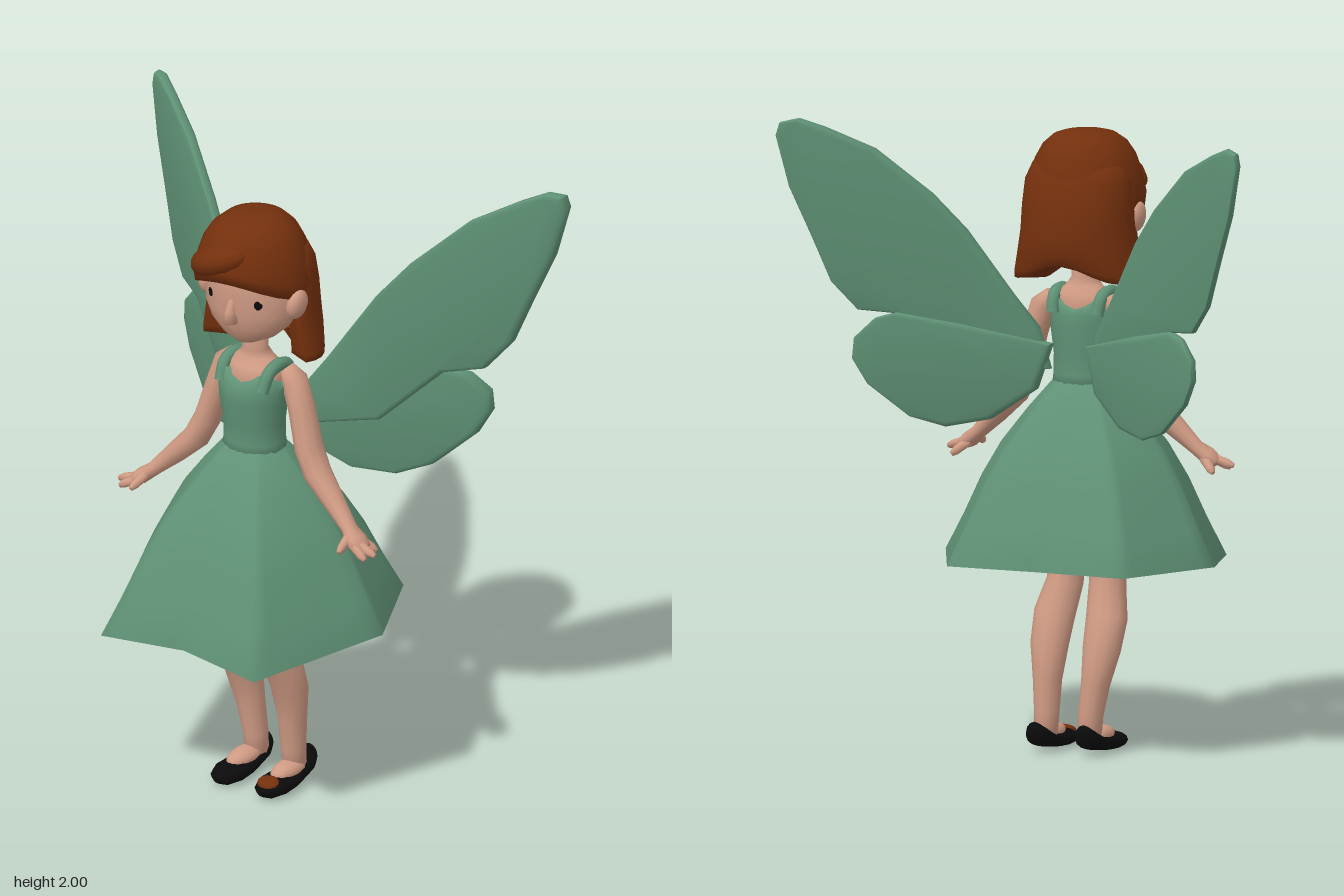
import * as THREE from 'three';
import { toCreasedNormals } from 'three/addons/utils/BufferGeometryUtils.js';

const V = (x, y, z) => new THREE.Vector3(x, y, z);
const TAU = Math.PI * 2;

export function createModel() {
  const root = new THREE.Group();
  const mat = (name, color) => {
    const m = new THREE.MeshStandardMaterial({ color });
    m.name = name;
    return m;
  };
  const green = mat('green cloth', 0x5f9175);
  const skin = mat('skin', 0xd09b84);
  const hair = mat('auburn hair', 0x74300d);
  const black = mat('black', 0x0b0b0c);

  const add = (name, geo, material) => {
    const m = new THREE.Mesh(geo, material);
    m.name = name;
    root.add(m);
    return m;
  };

  // Skin over a list of closed rings, with optional end caps
  const loft = (rings, capStart = true, capEnd = true) => {
    const n = rings[0].length, pos = [], idx = [];
    rings.forEach(r => r.forEach(p => pos.push(p.x, p.y, p.z)));
    for (let i = 0; i < rings.length - 1; i++) for (let j = 0; j < n; j++) {
      const a = i * n + j, b = i * n + (j + 1) % n;
      idx.push(a, b, b + n, a, b + n, a + n);
    }
    const cap = (i, flip) => {
      const c = rings[i].reduce((s, p) => s.add(p), V(0, 0, 0)).divideScalar(n);
      const k = pos.length / 3;
      pos.push(c.x, c.y, c.z);
      for (let j = 0; j < n; j++) {
        const a = i * n + j, b = i * n + (j + 1) % n;
        flip ? idx.push(k, b, a) : idx.push(k, a, b);
      }
    };
    if (capStart) cap(0, true);
    if (capEnd) cap(rings.length - 1, false);
    const g = new THREE.BufferGeometry();
    g.setAttribute('position', new THREE.Float32BufferAttribute(pos, 3));
    g.setIndex(idx);
    g.computeVertexNormals();
    return g;
  };
  const ring = (n, f) => Array.from({ length: n }, (_, j) => f(j / n * TAU));
  // Horizontal slices: [y, half width, back z, front z]
  const slices = (rows, n = 16) => loft(rows.map(([y, rx, zb, zf]) =>
    ring(n, t => V(rx * Math.sin(t), y, (zb + zf) / 2 + (zf - zb) / 2 * Math.cos(t)))));
  // Limb along points [x, y, z, r, rz], with rings square to the path
  const limb = (pts, n = 10) => {
    const c = pts.map(p => V(p[0], p[1], p[2]));
    return loft(pts.map(([, , , r, rz = r], i) => {
      const T = c[Math.min(i + 1, c.length - 1)].clone().sub(c[Math.max(i - 1, 0)]).normalize();
      const X = T.clone().cross(V(0, 0, 1)).normalize(), Z = X.clone().cross(T);
      return ring(n, t => c[i].clone().addScaledVector(X, r * Math.sin(t)).addScaledVector(Z, rz * Math.cos(t)));
    }));
  };
  const blob = (name, material, p, s) => {
    const m = add(name, new THREE.SphereGeometry(1, 14, 10), material);
    m.position.set(...p);
    m.scale.set(...s);
    return m;
  };

  // Skirt: round waist blending into a six-cornered hem, with an inner layer
  const half = [[0, .585, .465], [.29, .57, .5], [.457, .605, .05], [.3, .605, -.28], [0, .605, -.272]];
  const corners = [...half, ...half.slice(1, 4).reverse().map(([x, y, z]) => [-x, y, z])].map(p => V(...p));
  const hem = corners.flatMap((p, i) => [0, .12, .5, .88].map(k => p.clone().lerp(corners[(i + 1) % 8], k)));
  const skirtRing = (t, k, s) => hem.map(h => {
    const a = Math.atan2(h.x, h.z - .09);
    const w = V(.1 * Math.sin(a), 1.16, .09 + .09 * Math.cos(a));
    const p = w.clone().lerp(h, k);
    return V(p.x * s, THREE.MathUtils.lerp(1.16, h.y, t), .09 + (p.z - .09) * s);
  });
  const steps = [[1, 1], [.79, .83], [.57, .67], [.375, .49], [.18, .25], [0, 0]];
  const inner = steps.slice(0, 5).reverse().map(([t, k]) => skirtRing(t, k, .95));
  add('skirt', loft([...inner, ...steps.map(([t, k]) => skirtRing(t, k, 1))], true, true), green);

  // Bodice with scooped neckline and shoulder straps
  const bodice = [[1.12, .108, -.01, .19], [1.18, .1, 0, .178], [1.24, .1, 0, .18], [1.32, .112, -.005, .193], [1.37, .117, -.002, .19]]
    .map(([y, rx, b, f]) => ring(20, t => V(rx * Math.sin(t), y, (b + f) / 2 + (f - b) / 2 * Math.cos(t))));
  bodice.push(ring(20, t => V(.112 * Math.sin(t), 1.385 + .035 * Math.sin(2 * t) ** 2, .088 + .082 * Math.cos(t))));
  add('bodice', loft(bodice), green);
  for (const s of [1, -1]) {
    const path = new THREE.CatmullRomCurve3([V(s * .078, 1.37, .16), V(s * .083, 1.425, .132), V(s * .083, 1.437, .08), V(s * .08, 1.42, .03), V(s * .075, 1.37, .01)]);
    add('shoulderStrap', new THREE.TubeGeometry(path, 12, .021, 8), green);
  }

  // Chest, neck and face
  add('chest', slices([[1.3, .09, .01, .16], [1.4, .102, .01, .163], [1.43, .092, .02, .145], [1.455, .06, .035, .125], [1.48, .041, .045, .125], [1.57, .04, .045, .125]]), skin);
  add('head', slices([[1.525, .04, .08, .165], [1.55, .092, .04, .188], [1.59, .135, 0, .208], [1.64, .16, -.04, .22],
    [1.7, .167, -.06, .222], [1.76, .162, -.06, .225], [1.83, .14, -.04, .2], [1.88, .08, .02, .14]], 20), skin);
  add('nose', limb([[.005, 1.612, .205, .016, .012], [.005, 1.628, .225, .022, .032], [.004, 1.65, .222, .016, .024], [.003, 1.69, .212, .01, .014]], 8), skin);
  for (const s of [1, -1]) {
    blob('ear', skin, [s * .168, 1.675, .1], [.027, .05, .044]).rotation.z = -s * .15;
    const eye = blob('eye', black, [s * .09, 1.685, .196], [.014, .017, .0045]);
    eye.rotation.y = s * .52;
  }

  // Hair cap with an uneven hairline
  const capPoint = (t, s, r) => {
    const c = Math.cos(t), f = Math.max(0, c);
    const b = c > 0 ? 1.69 + .07 * c * c + .02 * f * Math.sin(t) : 1.69 + .04 * c;
    const k = r * Math.cos(s * Math.PI / 2) ** .6;
    return V(.182 * k * Math.sin(t) - .022 * f * k, b + (1.94 - b) * Math.sin(s * Math.PI / 2), .08 + (c > 0 ? .19 : .18) * k * c);
  };
  const capRings = [[.02, .82], [0, .97], [.12, 1.01], [.28, 1], [.45, 1], [.62, 1], [.78, 1], [.9, 1], [.97, .9]];
  add('hairCap', loft(capRings.map(([s, r]) => ring(24, t => capPoint(t, s, r)))), hair);
  const fringe = blob('fringe', hair, [-.045, 1.808, .195], [.125, .057, .088]);
  fringe.rotation.set(0, -.2, .42);

  // Bob: a C-shaped shell round the sides and back
  const bobRing = ([y, rx, zb, th, lift], flat) => {
    const M = 16, out = [], inn = [];
    for (let j = 0; j <= M; j++) {
      const t = THREE.MathUtils.degToRad(68 + 224 * j / M), rz = .04 - zb;
      const at = d => V((rx - d) * Math.sin(t), y + lift * Math.max(0, -Math.cos(t)) ** 6, .04 + (rz - d) * Math.cos(t));
      out.push(at(flat ? th / 2 : 0));
      inn.push(at(flat ? th / 2 : th));
    }
    return [...out, ...inn.reverse()];
  };
  const bob = [[1.478, .21, -.09, .085, .055], [1.5, .209, -.1, .08, .04], [1.56, .196, -.117, .06, .01], [1.63, .184, -.12, .05, 0],
    [1.71, .18, -.11, .05, 0], [1.79, .172, -.09, .05, 0], [1.84, .15, -.06, .05, 0]];
  add('hairBob', loft([bobRing(bob[0], true), ...bob.map(b => bobRing(b)), bobRing(bob[6], true)], false, false), hair);

  // Arms and hands
  for (const s of [1, -1]) {
    const m = pts => pts.map(([x, ...r]) => [s * x, ...r]);
    add('arm', limb(m([[.435, .922, .12, .016, .034], [.405, .94, .118, .026, .043], [.37, .967, .105, .023, .028], [.3, 1.035, .09, .034, .037],
      [.23, 1.105, .077, .041, .049], [.192, 1.18, .07, .041, .052], [.158, 1.3, .06, .04, .048], [.127, 1.39, .057, .04, .045], [.1, 1.425, .06, .022, .028]])), skin);
    for (const [tip, base] of [[[.485, .913, .13], [.41, .937, .125]], [[.465, .903, .155], [.405, .935, .14]],
      [[.445, .897, .065], [.4, .937, .095]], [[.395, .925, .195], [.385, .955, .125]]])
      add('finger', limb(m([[...tip, .008], [...tip.map((v, i) => v + (base[i] - v) * .25), .014], [...base, .016]]), 7), skin);
  }

  // Legs, feet and shoes; the two stand slightly apart in x and z
  for (const [ankle, calf, thigh, dz] of [[.103, .103, .085, 0], [-.055, -.084, -.068, -.02]]) {
    add('leg', limb([[ankle, .04, .02 + dz, .036, .04], [ankle, .12, .028 + dz, .039, .042], [(ankle + calf) / 2, .22, .033 + dz, .045, .047],
      [calf, .33, .048 + dz, .061, .055], [calf, .42, .085 + dz, .066, .06], [thigh, .52, .125 + dz, .057, .062],
      [thigh, .62, .14 + dz, .055, .066], [thigh * .9, .85, .11, .06, .065]], 12), skin);
    const fx = ankle > 0 ? .107 : -.06;
    blob('foot', skin, [fx, .055, .06], [.04, .03, .08]);
    // Shoe slices run from toe to heel: [z, half width, bottom, top]
    const shoe = [[.2, .018, .012, .035], [.18, .043, .002, .05], [.14, .057, 0, .058], [.08, .055, .003, .058], [.02, .047, .012, .065], [-.025, .043, .02, .085], [-.052, .03, .028, .1]];
    add('shoe', loft(shoe.map(([z, w, b, t]) => ring(12, a => V(fx + w * Math.sin(a), (b + t) / 2 + (t - b) / 2 * Math.cos(a), z)))), black);
  }
  const patch = blob('shoePatch', hair, [.105, .048, .165], [.037, .014, .03]);
  patch.rotation.x = .3;

  // Wings: flat bevelled outlines swept backwards
  const upper = [[.07, 1.2], [.1, 1.33], [.165, 1.43], [.29, 1.64], [.38, 1.755], [.53, 1.9], [.66, 1.97], [.73, 2], [.775, 1.99], [.785, 1.95],
    [.75, 1.79], [.69, 1.63], [.64, 1.49], [.57, 1.4], [.465, 1.385], [.3, 1.22]];
  const lower = [[.06, 1.28], [.3, 1.35], [.465, 1.39], [.52, 1.375], [.575, 1.315], [.58, 1.25], [.54, 1.17], [.43, 1.065], [.335, 1.03], [.22, 1.05], [.1, 1.14]];
  for (const s of [1, -1]) for (const [name, pts, dz] of [['upperWing', upper, 0], ['lowerWing', lower, -.015]]) {
    const shape = new THREE.Shape(pts.map(([x, y]) => new THREE.Vector2(s * x, y)));
    const g = new THREE.ExtrudeGeometry(shape, { depth: .022, bevelEnabled: true, bevelThickness: .012, bevelSize: .014, bevelOffset: -.014, bevelSegments: 2 });
    const p = g.attributes.position;
    for (let i = 0; i < p.count; i++) p.setZ(i, p.getZ(i) - .011 - .035 + dz - (Math.abs(p.getX(i)) - .1) * .65);
    add(name, toCreasedNormals(g, .8), green);
  }
  return root;
}
